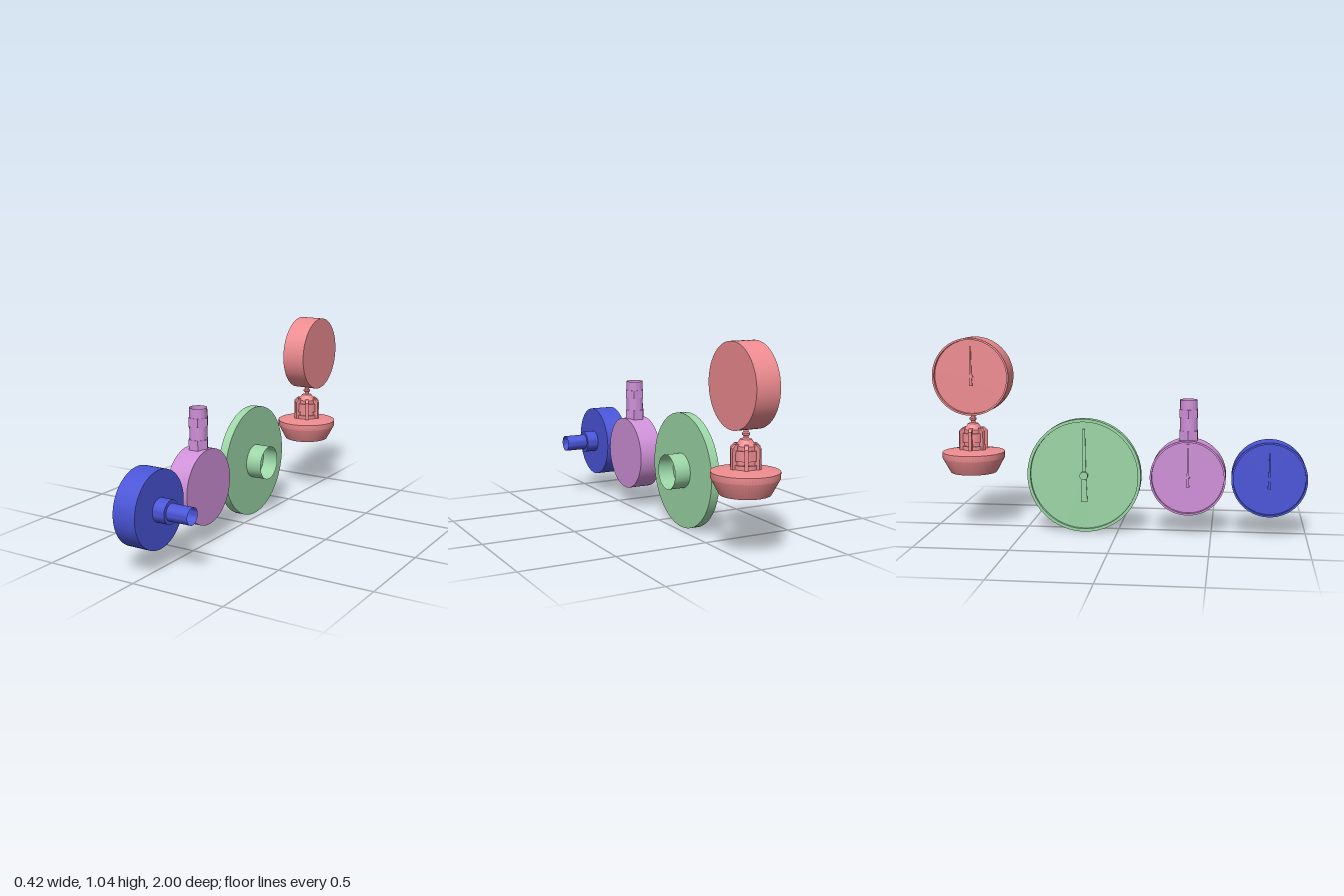
import * as THREE from 'three';
import { toCreasedNormals } from 'three/addons/utils/BufferGeometryUtils.js';

const material = (color) => new THREE.MeshStandardMaterial({ color, side: THREE.DoubleSide });
const BLUE = material(0x4a55d8);
const PURPLE = material(0xcf90d8);
const GREEN = material(0x9bd6a6);
const PINK = material(0xee8c90);

function add(parent, name, geometry, mat, x = 0, y = 0, z = 0) {
  const mesh = new THREE.Mesh(geometry, mat);
  mesh.name = name;
  mesh.position.set(x, y, z);
  parent.add(mesh);
  return mesh;
}

// Surface of revolution with sharp edges, from [radius, height] pairs
function turned(profile, segments = 64) {
  const points = profile.map(([r, h]) => new THREE.Vector2(r, h));
  return toCreasedNormals(new THREE.LatheGeometry(points, segments), 0.5);
}

// The same, turned about the x axis (heights become x)
const turnedX = (profile, segments) => turned(profile, segments).rotateZ(-Math.PI / 2);

// Dial case facing -x, with raised lip, recessed dial, needle and pivot
function gauge(name, mat, { y, z, r, front, back, lip, depth, up, down, width, knob }) {
  const group = new THREE.Group();
  group.name = name;
  group.position.set(0, y, z);
  const dial = front + depth;
  add(group, 'case', turnedX([[0, dial], [r - lip, dial], [r - lip, front], [r, front], [r, back], [0, back]], 72), mat);

  const w = width / 2;
  const outline = new THREE.Shape();
  outline.moveTo(-w * 0.35, up);
  outline.lineTo(w * 0.35, up);
  outline.lineTo(w * 0.6, 0);
  outline.lineTo(w, -down);
  outline.lineTo(-w, -down);
  outline.lineTo(-w * 0.6, 0);
  const needle = new THREE.ExtrudeGeometry(outline, { depth: 0.006, bevelEnabled: false });
  needle.rotateY(-Math.PI / 2);
  add(group, 'needle', needle, mat, dial - 0.004, 0, 0);
  add(group, 'pivot', turnedX([[0, knob], [width * 0.6, knob], [width * 0.6, dial], [0, dial]], 24), mat);
  return group;
}

function blueGauge() {
  const g = gauge('rearStemGauge', BLUE, {
    y: 0.31, z: 0.802, r: 0.198, front: -0.107, back: 0.02, lip: 0.01, depth: 0.022,
    up: 0.14, down: 0.05, width: 0.018, knob: -0.09,
  });
  // Stepped, open-ended stem
  add(g, 'stem', turnedX([[0.061, 0.02], [0.061, 0.087], [0.044, 0.087], [0.044, 0.207]], 40), BLUE);
  return g;
}

function purpleGauge() {
  const g = gauge('topStemGauge', PURPLE, {
    y: 0.31, z: 0.375, r: 0.2, front: -0.107, back: 0.018, lip: 0.01, depth: 0.022,
    up: 0.16, down: 0.05, width: 0.018, knob: -0.09,
  });
  // Open tube with two hexagonal nuts
  const x = -0.044;
  add(g, 'stem', turned([[0.046, 0.18], [0.046, 0.41]], 40), PURPLE, x);
  for (const [low, high] of [[0.18, 0.247], [0.315, 0.36]]) {
    const nut = toCreasedNormals(new THREE.LatheGeometry([
      new THREE.Vector2(0.046, low), new THREE.Vector2(0.055, low),
      new THREE.Vector2(0.055, high), new THREE.Vector2(0.046, high),
    ], 6, Math.PI / 2), 0.3);
    add(g, 'hexNut', nut, PURPLE, x);
  }
  return g;
}

function greenGauge() {
  const g = gauge('wideGauge', GREEN, {
    y: 0.307, z: -0.18, r: 0.306, front: -0.087, back: -0.04, lip: 0.016, depth: 0.018,
    up: 0.25, down: 0.145, width: 0.036, knob: -0.095,
  });
  add(g, 'rearTube', turnedX([[0.092, -0.04], [0.092, 0.05]], 48), GREEN);
  return g;
}

function pinkGauge() {
  const group = new THREE.Group();
  group.name = 'gaugeOnBase';
  group.add(gauge('dial', PINK, {
    y: 0.83, z: -0.79, r: 0.208, front: -0.09, back: 0.04, lip: 0.01, depth: 0.022,
    up: 0.165, down: 0.05, width: 0.018, knob: -0.075,
  }));

  const base = new THREE.Group();
  base.name = 'base';
  base.position.set(-0.042, 0, -0.79);
  group.add(base);
  // Hollow flared foot, open at the bottom
  add(base, 'foot', turned([[0.125, 0.31], [0.168, 0.39], [0.168, 0.421], [0.08, 0.435], [0, 0.435]]), PINK);
  // Neck with collars, cap and the thin rod to the dial
  add(base, 'neck', turned([
    [0.064, 0.432], [0.064, 0.455], [0.054, 0.455], [0.054, 0.475], [0.062, 0.475], [0.062, 0.525],
    [0.052, 0.525], [0.052, 0.545], [0.036, 0.562], [0.028, 0.575], [0.012, 0.58],
  ], 40), PINK);
  add(base, 'rod', turned([
    [0.012, 0.575], [0.012, 0.59], [0.019, 0.595], [0.019, 0.604], [0.012, 0.61], [0.012, 0.63],
  ], 24), PINK);

  // Six upright ribs with sloped tops
  const outline = new THREE.Shape();
  outline.moveTo(0.045, 0.43);
  outline.lineTo(0.078, 0.43);
  outline.lineTo(0.078, 0.535);
  outline.lineTo(0.06, 0.553);
  outline.lineTo(0.045, 0.553);
  const rib = new THREE.ExtrudeGeometry(outline, { depth: 0.018, bevelEnabled: false });
  rib.translate(0, 0, -0.009);
  for (let i = 0; i < 6; i++) {
    add(base, 'rib', rib, PINK).rotation.y = (i * Math.PI) / 3;
  }
  return group;
}

export function createModel() {
  const model = new THREE.Group();
  model.name = 'pressureGauges';
  model.add(blueGauge(), purpleGauge(), greenGauge(), pinkGauge());
  return model;
}
